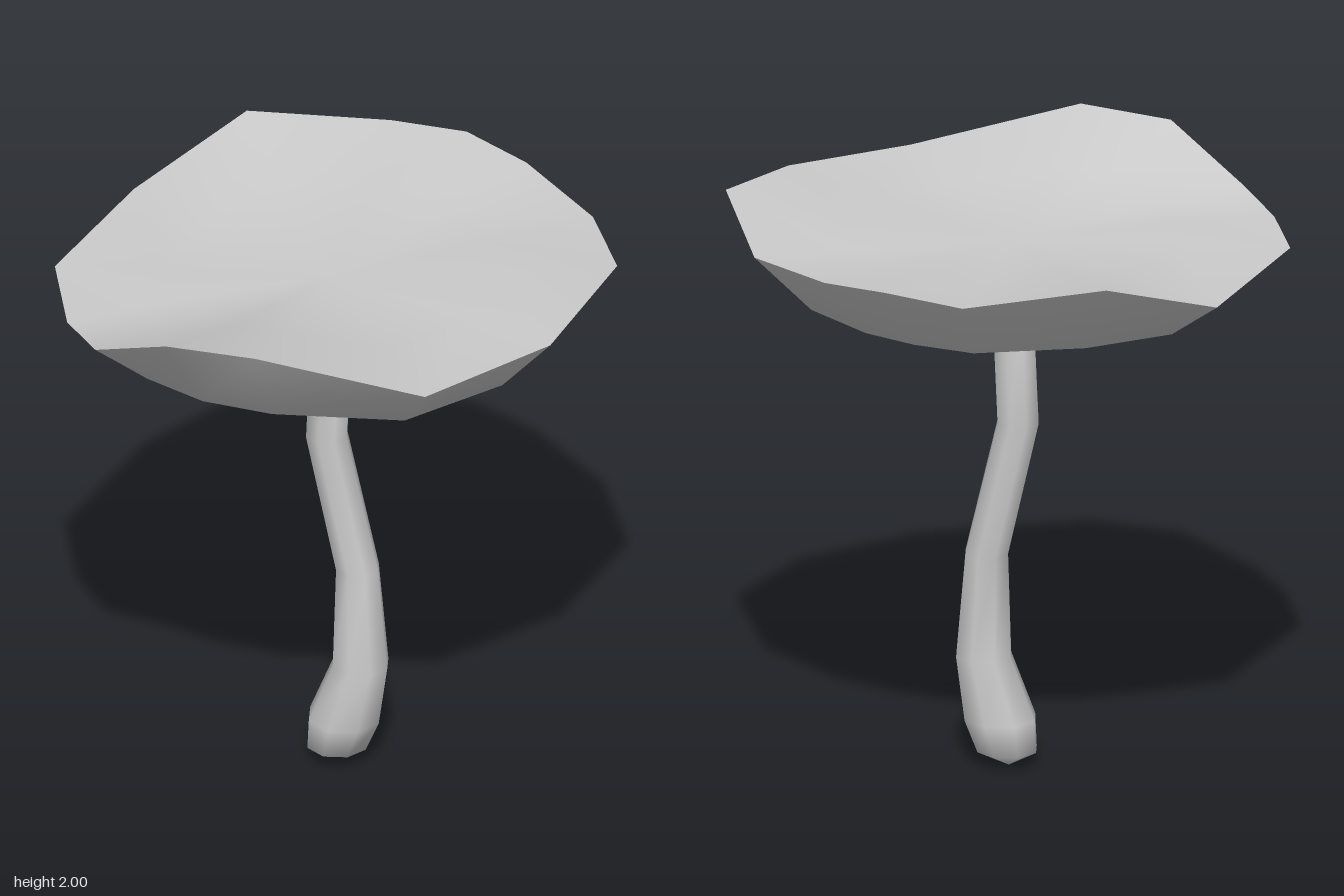
import * as THREE from 'three';
import { mergeVertices } from 'three/addons/utils/BufferGeometryUtils.js';

// Smooth skin over a list of closed rings, ordered so that faces point outwards.
function skin(name, rings) {
  const n = rings[0].length, index = [];
  for (let i = 0; i < rings.length - 1; i++) {
    for (let j = 0; j < n; j++) {
      const a = i * n + j, b = i * n + (j + 1) % n;
      index.push(a, a + n, b, b, a + n, b + n);
    }
  }
  let geometry = new THREE.BufferGeometry();
  geometry.setAttribute('position', new THREE.Float32BufferAttribute(rings.flat(2), 3));
  geometry.setIndex(index);
  geometry = mergeVertices(geometry);
  geometry.computeVertexNormals();
  const material = new THREE.MeshStandardMaterial({ color: 0xcccccc, side: THREE.DoubleSide });
  const mesh = new THREE.Mesh(geometry, material);
  mesh.name = name;
  return mesh;
}

// Wavy edge of the cap, clockwise from the back
const rim = [
  [0.03, 1.94, -0.96], [0.49, 1.89, -0.83], [0.69, 1.91, -0.64], [0.82, 1.89, -0.41],
  [0.92, 1.87, -0.02], [0.84, 1.95, 0.46], [0.49, 1.89, 0.80], [0, 1.86, 0.95],
  [-0.53, 2.0, 0.76], [-0.77, 1.98, 0.55], [-0.91, 1.83, 0.24], [-0.92, 1.80, -0.02],
  [-0.84, 1.81, -0.38], [-0.41, 1.79, -0.83],
];

// Shrunken copy of the rim; wave is how much of its height variation remains
const capRing = (scale, y, wave) =>
  rim.map(([x, h, z]) => [x * scale, y + (h - 1.88) * wave, z * scale]);

// Stem sections: y, x from/to, z from/to
const stemSections = [
  [0.0, 0.02, 0.02, -0.02, -0.02],
  [0.05, -0.085, 0.125, -0.11, 0.1],
  [0.16, -0.085, 0.165, -0.12, 0.14],
  [0.37, -0.015, 0.18, -0.05, 0.15],
  [0.73, 0.0, 0.15, -0.04, 0.12],
  [1.2, -0.075, 0.07, -0.125, 0.03],
  [1.6, -0.065, 0.08, -0.11, 0.06],
  [1.6, 0.01, 0.01, -0.025, -0.025],
];

function stemRing([y, x0, x1, z0, z1], sides = 8) {
  return Array.from({ length: sides }, (_, i) => {
    const t = (i / sides) * Math.PI * 2;
    return [
      (x0 + x1) / 2 + Math.cos(t) * (x1 - x0) / 2,
      y,
      (z0 + z1) / 2 + Math.sin(t) * (z1 - z0) / 2,
    ];
  });
}

export function createModel() {
  const model = new THREE.Group();
  model.name = 'mushroom';

  // Bowl-shaped underside and shallow upper face, kept apart for a sharp rim
  const cap = new THREE.Group();
  cap.name = 'cap';
  cap.add(
    skin('capUnderside', [capRing(0, 1.545, 0), capRing(0.45, 1.57, 0.1), capRing(0.78, 1.665, 0.15), rim]),
    skin('capTop', [rim, capRing(0.6, 1.85, 0.4), capRing(0, 1.82, 0)]),
  );

  // Bent stem with a swollen foot
  model.add(cap, skin('stem', stemSections.map((s) => stemRing(s))));
  return model;
}
